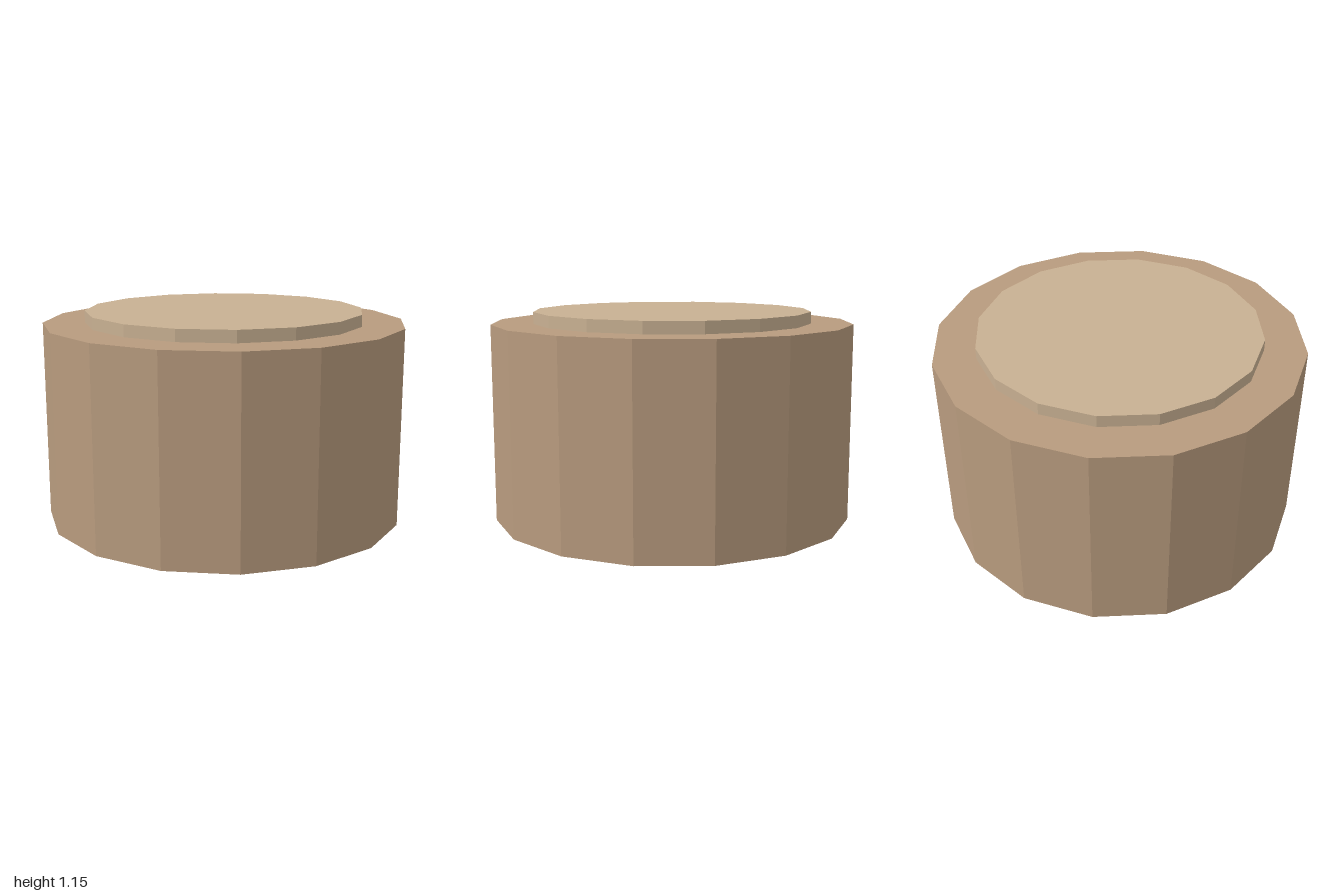
import * as THREE from 'three';

const SIDES = 16;

// Faceted disc standing on height y0
function disc(name, radius, y0, y1, color) {
  const geometry = new THREE.CylinderGeometry(radius, radius, y1 - y0, SIDES);
  const material = new THREE.MeshStandardMaterial({ color, flatShading: true });
  const mesh = new THREE.Mesh(geometry, material);
  mesh.name = name;
  mesh.position.y = (y0 + y1) / 2;
  return mesh;
}

export function createModel() {
  const group = new THREE.Group();
  group.name = 'roundBlock';
  // Wide drum
  group.add(disc('body', 1, 0, 1.09, 0xb89b7e));
  // Thin lighter plate, slightly sunk into the drum
  group.add(disc('topPlate', 0.77, 1.05, 1.155, 0xc8b092));
  return group;
}
